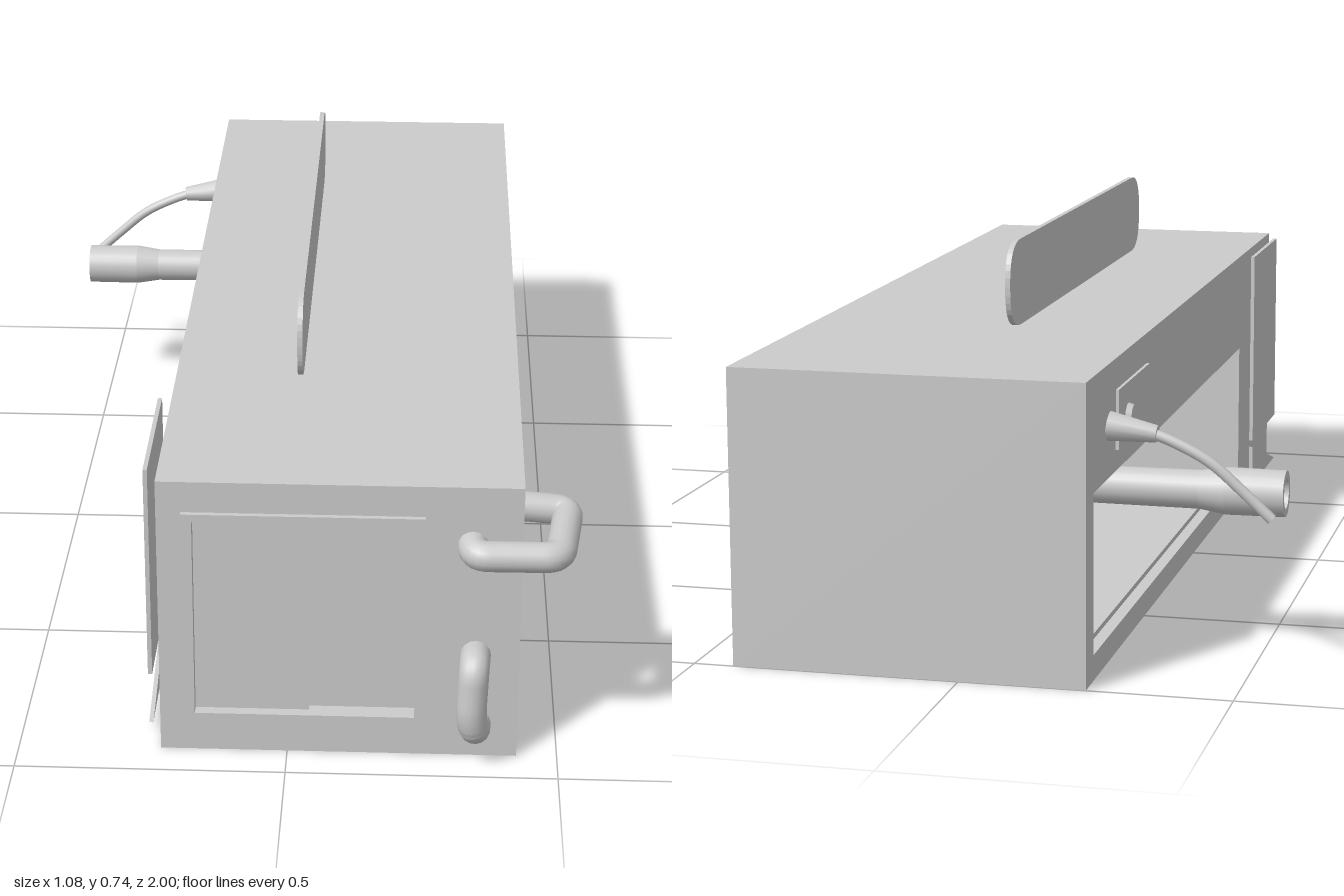
import * as THREE from 'three';

const mat = new THREE.MeshStandardMaterial({ color: 0xcccccc, side: THREE.DoubleSide });
const V = (x, y, z) => new THREE.Vector3(x, y, z);

// Rectangle from (a0,b0) to (a1,b1), with optional rectangular holes
function rect(a0, b0, a1, b1, ...holes) {
  const draw = (p, [l, d, r, u]) => p.moveTo(l, d).lineTo(r, d).lineTo(r, u).lineTo(l, u).closePath();
  const s = draw(new THREE.Shape(), [a0, b0, a1, b1]);
  holes.forEach(h => s.holes.push(draw(new THREE.Path(), h)));
  return s;
}

// Shape to plate; depth 0 gives a single sheet
const plate = (shape, depth = 0) => depth
  ? new THREE.ExtrudeGeometry(shape, { depth, bevelEnabled: false, curveSegments: 10 })
  : new THREE.ShapeGeometry(shape);
const front = (s, z, d) => plate(s, d).translate(0, 0, z);                        // shape in x,y; grows to +z
const side = (s, x, d) => plate(s, d).rotateY(-Math.PI / 2).translate(x, 0, 0);   // shape in z,y; grows to -x
const flat = (s, y, d) => plate(s, d).rotateX(Math.PI / 2).translate(0, y, 0);    // shape in x,z; grows down

// Straight runs joined by rounded bends
function bentPath(points, r) {
  const path = new THREE.CurvePath();
  let from = points[0];
  for (let i = 1; i < points.length - 1; i++) {
    const p = points[i];
    const a = p.clone().add(points[i - 1].clone().sub(p).setLength(r));
    const b = p.clone().add(points[i + 1].clone().sub(p).setLength(r));
    path.add(new THREE.LineCurve3(from, a));
    path.add(new THREE.QuadraticBezierCurve3(a, p, b));
    from = b;
  }
  path.add(new THREE.LineCurve3(from, points[points.length - 1]));
  return path;
}

export function createModel() {
  const model = new THREE.Group();
  const add = (name, geo, parent = model) => {
    const m = new THREE.Mesh(geo, mat);
    m.name = name;
    parent.add(m);
    return m;
  };
  const L = -0.235, R = 0.425, H = 0.555, B = -1, F = 0.925;

  // Open-bottomed housing
  const housing = new THREE.Group();
  housing.name = 'housing';
  model.add(housing);
  add('roof', flat(rect(L, B, R, F), H), housing);
  add('backWall', front(rect(L, 0, R, H), B), housing);
  add('plainSideWall', side(rect(B, 0, F, H), R), housing);
  add('openSideWall', side(rect(B, 0, F, H, [-0.94, 0.04, 0.53, 0.345]), L), housing);
  add('frontWall', front(rect(L, 0, R, H, [-0.17, 0.083, 0.235, 0.48]), F), housing);
  add('partition', front(rect(L, 0.04, R, H), 0.51), housing);

  // Compartment floor with a raised rim
  add('floor', flat(rect(L + 0.002, B + 0.002, R - 0.002, 0.51), 0.045, 0.01));
  add('floorRim', flat(rect(-0.21, -0.93, 0.38, 0.49, [-0.19, -0.91, 0.36, 0.47]), 0.055, 0.035));

  // Sliding window in the front
  const win = new THREE.Group();
  win.name = 'window';
  model.add(win);
  add('windowFrame', front(rect(-0.19, 0.065, 0.25, 0.495, [-0.17, 0.083, 0.235, 0.48]), 0.885, 0.05), win);
  add('outerPane', front(rect(-0.17, 0.083, 0.04, 0.48), 0.904, 0.01), win);
  add('innerPane', front(rect(0.036, 0.083, 0.235, 0.48), 0.89, 0.01), win);

  // Rounded fin above the roof
  const fin = new THREE.Shape();
  const z0 = -0.61, z1 = 0.545, y0 = 0.57, y1 = 0.735, r = 0.08;
  fin.moveTo(z0 + r, y0).lineTo(z1 - r, y0).quadraticCurveTo(z1, y0, z1, y0 + r)
    .lineTo(z1, y1 - r).quadraticCurveTo(z1, y1, z1 - r, y1)
    .lineTo(z0 + r, y1).quadraticCurveTo(z0, y1, z0, y1 - r)
    .lineTo(z0, y0 + r).quadraticCurveTo(z0, y0, z0 + r, y0);
  add('roofFin', side(fin, 0.012, 0.01));

  // Side panels standing off the wall: a rectangle and a wedge below it
  add('sidePanel', side(rect(0.565, 0.125, 0.87, 0.55), -0.254, 0.008));
  const wedge = new THREE.Shape([[0.565, 0.02], [0.87, 0.02], [0.565, 0.11]].map(p => new THREE.Vector2(...p)));
  add('sideWedge', side(wedge, -0.254, 0.008));

  // Tubular handles
  const handle = (name, pts) =>
    add(name, new THREE.TubeGeometry(bentPath(pts, 0.03), 64, 0.028, 16));
  handle('cornerHandle', [V(0.335, 0.44, 0.92), V(0.335, 0.435, 0.957), V(0.49, 0.432, 0.95),
    V(0.512, 0.437, 0.775), V(0.42, 0.447, 0.78)]);
  handle('frontHandle', [V(0.345, 0.215, 0.92), V(0.342, 0.215, 0.97), V(0.338, 0.11, 0.976),
    V(0.348, 0.068, 0.96), V(0.348, 0.07, 0.92)]);

  // Wall plate with a round knob
  add('wallPlate', side(rect(-0.76, 0.385, -0.49, 0.497), L, 0.006));
  add('knob', new THREE.CylinderGeometry(0.024, 0.028, 0.012, 20).rotateZ(Math.PI / 2).translate(-0.246, 0.43, -0.68));

  // Hollow pipe with a wider outer end
  const profile = [[0.028, 0.54], [0.043, 0.54], [0.044, 0.43], [0.036, 0.38], [0.035, 0.16], [0.027, 0.16], [0.028, 0.54]];
  for (let i = 0; i < profile.length - 1; i++) {
    const pts = [profile[i], profile[i + 1]].map(p => new THREE.Vector2(...p));
    add('pipe', new THREE.LatheGeometry(pts, 24).rotateZ(Math.PI / 2).translate(0, 0.303, -0.69));
  }

  // Tapered plug and drooping cable
  add('plug', new THREE.CylinderGeometry(0.028, 0.016, 0.09, 12).rotateZ(-Math.PI / 2 + 0.12).translate(-0.28, 0.437, -0.82));
  const droop = new THREE.CatmullRomCurve3([V(-0.3, 0.437, -0.82), V(-0.35, 0.42, -0.82),
    V(-0.42, 0.385, -0.82), V(-0.48, 0.335, -0.82), V(-0.535, 0.285, -0.82)]);
  add('cable', new THREE.TubeGeometry(droop, 24, 0.01, 10));

  return model;
}
